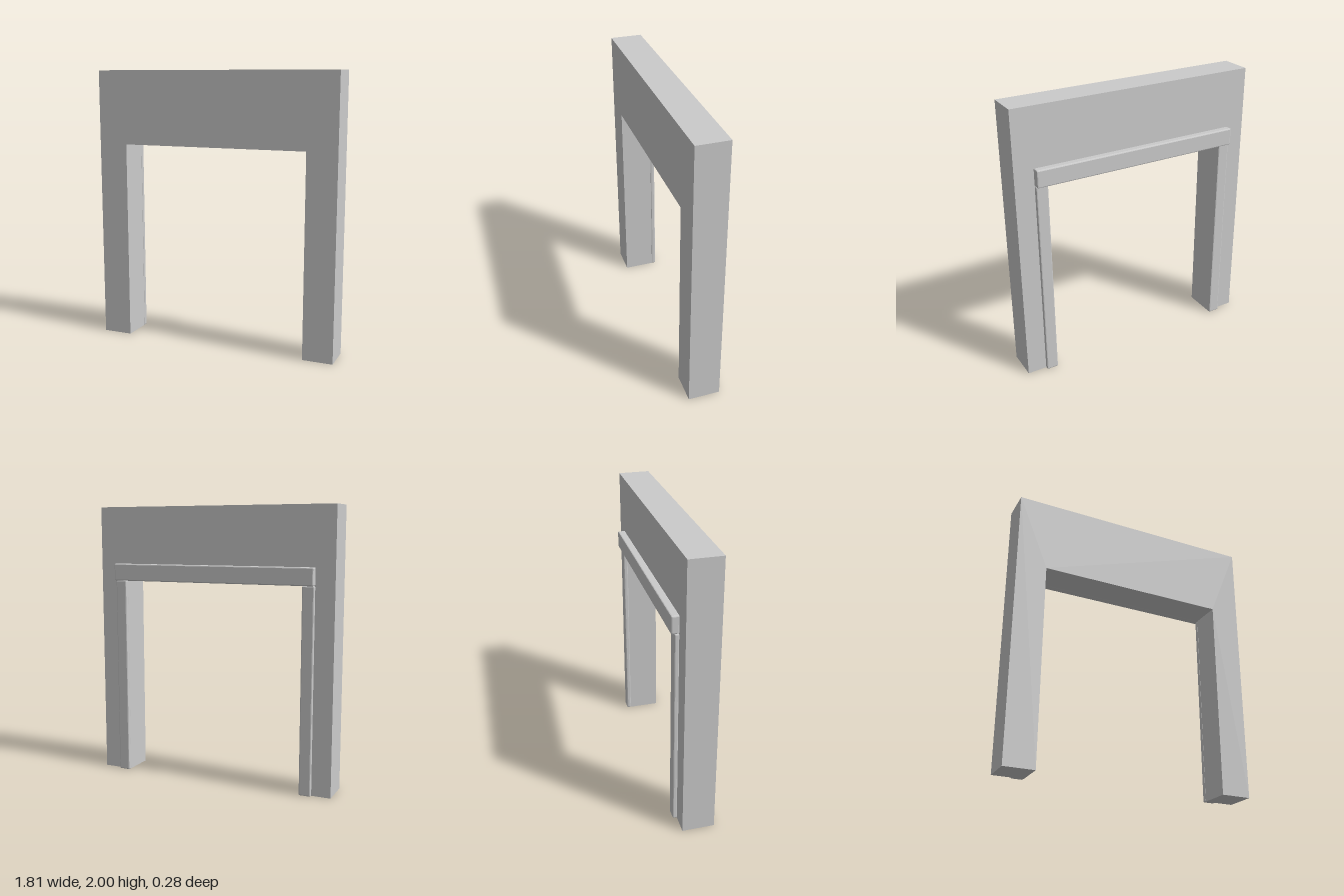
import * as THREE from 'three';
import { RoundedBoxGeometry } from 'three/addons/geometries/RoundedBoxGeometry.js';

export function createModel() {
  const group = new THREE.Group();
  const material = new THREE.MeshStandardMaterial({ color: 0xcccccc, flatShading: true });

  function add(name, geometry, x = 0, y = 0, z = 0) {
    const mesh = new THREE.Mesh(geometry, material);
    mesh.name = name;
    mesh.position.set(x, y, z);
    group.add(mesh);
  }

  // Chamfered trim board spanning the given limits
  function board(name, x0, x1, y0, y1, z0, z1) {
    const geometry = new RoundedBoxGeometry(x1 - x0, y1 - y0, z1 - z0, 1, 0.008);
    add(name, geometry, (x0 + x1) / 2, (y0 + y1) / 2, (z0 + z1) / 2);
  }

  // Wall with a doorway open at the floor
  const outer = 0.907, inner = 0.688, head = 1.462, back = -0.087, front = 0.14;
  const outline = [
    [-outer, 0], [-inner, 0], [-inner, head], [inner, head],
    [inner, 0], [outer, 0], [outer, 2], [-outer, 2],
  ].map(([x, y]) => new THREE.Vector2(x, y));
  const wall = new THREE.ExtrudeGeometry(new THREE.Shape(outline), {
    depth: front - back, bevelEnabled: false,
  });
  add('wall', wall, 0, 0, back);

  // Door casing on the back face
  board('leftJambTrim', 0.684, 0.77, 0, 1.46, -0.117, -0.084);
  board('rightJambTrim', -0.77, -0.684, 0, 1.46, -0.117, -0.084);
  board('lintelTrim', -0.77, 0.77, 1.46, 1.584, -0.14, -0.084);

  return group;
}
